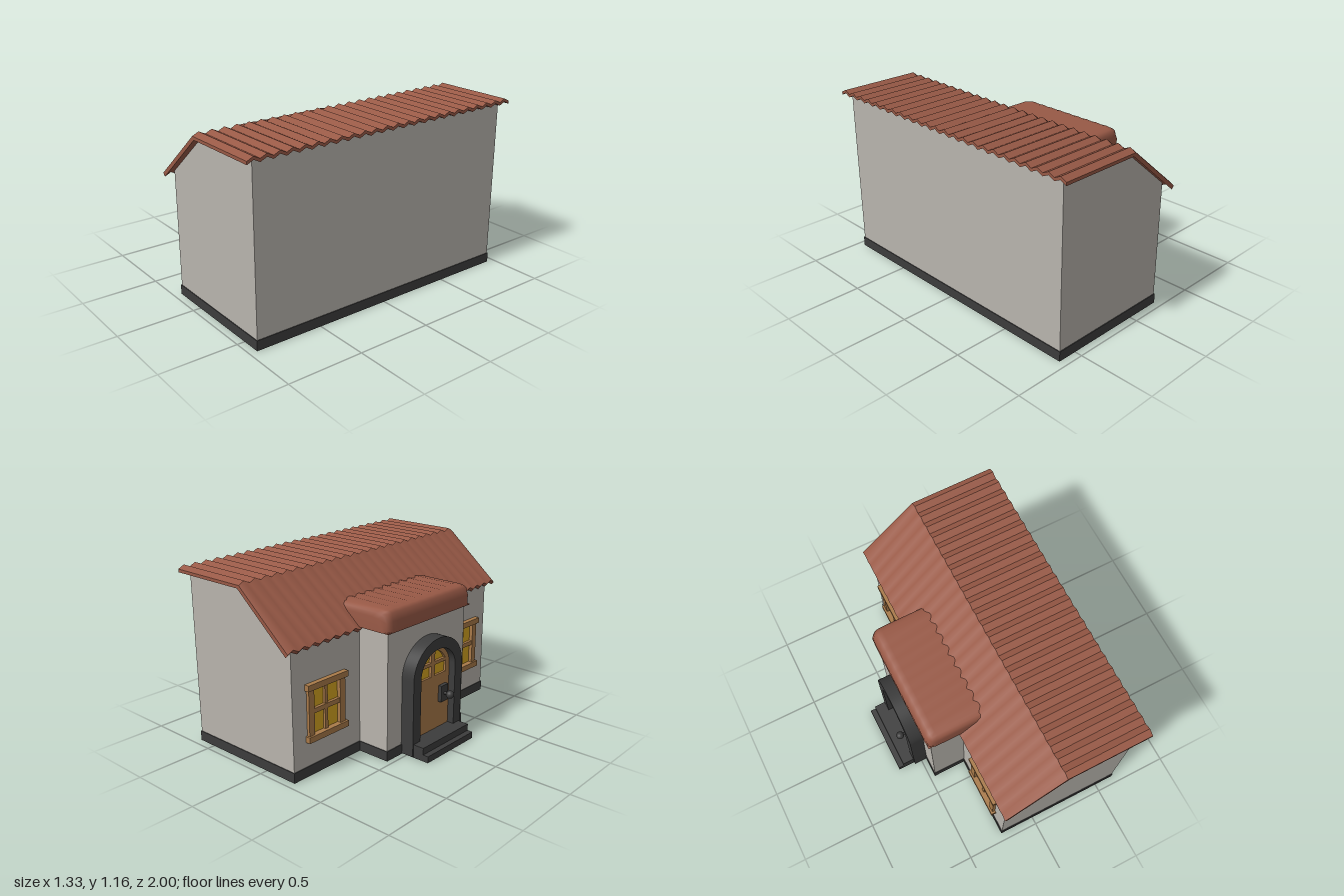
import * as THREE from 'three';
import { toCreasedNormals } from 'three/addons/utils/BufferGeometryUtils.js';

const mat = (name, color, side = THREE.FrontSide) => {
  const m = new THREE.MeshStandardMaterial({ color, side });
  m.name = name;
  return m;
};

export function createModel() {
  const plaster = mat('plaster', 0xb8b4ad);
  const tile = mat('roofTile', 0x985946, THREE.DoubleSide);
  const stone = mat('darkStone', 0x3c3c3c);
  const wood = mat('wood', 0xa97a49);
  const glass = mat('yellowGlass', 0xd6a520);
  const house = new THREE.Group();
  house.name = 'house';

  const add = (name, geo, material, parent = house) => {
    const m = new THREE.Mesh(geo, material);
    m.name = name;
    parent.add(m);
    return m;
  };
  // box given by its extents on each axis
  const box = (name, [x0, x1], [y0, y1], [z0, z1], material, parent) => {
    const g = new THREE.BoxGeometry(x1 - x0, y1 - y0, z1 - z0);
    g.translate((x0 + x1) / 2, (y0 + y1) / 2, (z0 + z1) / 2);
    return add(name, g, material, parent);
  };
  // plate drawn in (z, y), standing between x0 and x1
  const plate = (name, shape, x0, x1, material, parent) => {
    const g = new THREE.ExtrudeGeometry(shape, { depth: x1 - x0, bevelEnabled: false, curveSegments: 20 });
    g.rotateY(-Math.PI / 2).translate(x1, 0, 0);
    return add(name, toCreasedNormals(g, 0.5), material, parent);
  };
  const poly = pts => new THREE.Shape(pts.map(p => new THREE.Vector2(...p)));
  const rect = (a, b, y0, y1) => poly([[a, y0], [b, y0], [b, y1], [a, y1]]);
  const arch = (w, y0, spring, rise) => {
    const s = new THREE.Shape();
    s.moveTo(-w, y0).lineTo(w, y0).lineTo(w, spring);
    s.absellipse(0, spring, w, rise, 0, Math.PI, false, 0);
    s.lineTo(-w, y0);
    return s;
  };

  // ---- walls: a hollow shell, open underneath ----
  const walls = new THREE.Group();
  walls.name = 'walls';
  house.add(walls);
  const gable = poly([[-0.235, 0.03], [0.625, 0.03], [0.625, 1.13], [0.125, 1.13], [-0.235, 0.83]]);
  for (const s of [-1, 1]) {
    const g = new THREE.ExtrudeGeometry(gable, { depth: 0.02, bevelEnabled: false });
    g.translate(0, 0, s > 0 ? 0.925 : -0.945);
    add('gableWall', g, plaster, walls);
    box('porchSideWall', [-0.46, -0.22], [0.03, 0.85], s > 0 ? [0.36, 0.38] : [-0.38, -0.36], plaster, walls);
  }
  box('longWall', [0.605, 0.625], [0.03, 1.13], [-0.945, 0.945], plaster, walls);

  const winZ = 0.68;
  for (const s of [-1, 1]) {
    const a = s > 0 ? 0.37 : -0.945, b = s > 0 ? 0.945 : -0.37;
    const w = rect(a, b, 0.03, 0.83);
    w.holes.push(rect(s * winZ - 0.125, s * winZ + 0.125, 0.25, 0.565));
    plate('windowWall', w, -0.235, -0.215, plaster, walls);
  }
  const porchFront = rect(-0.38, 0.38, 0.03, 0.85);
  porchFront.holes.push(arch(0.2, 0.04, 0.5, 0.18));
  plate('porchFrontWall', porchFront, -0.46, -0.44, plaster, walls);

  // ---- dark plinth following the floor plan ----
  const plan = d => poly([[0.63 - d, -0.95 + d], [0.63 - d, 0.95 - d], [-0.24 + d, 0.95 - d], [-0.24 + d, 0.385 - d],
    [-0.465 + d, 0.385 - d], [-0.465 + d, -0.385 + d], [-0.24 + d, -0.385 + d], [-0.24 + d, -0.95 + d]]);
  const plinth = plan(0);
  plinth.holes.push(plan(0.03));
  add('plinth', new THREE.ExtrudeGeometry(plinth, { depth: 0.065, bevelEnabled: false }).rotateX(-Math.PI / 2), stone);

  // ---- corrugated main roof ----
  const WAVES = 24, T = 0.02;
  const roofSheet = (name, [x0, y0, shift0], [x1, y1, shift1], crisp) => {
    let g = new THREE.BoxGeometry(1, 1, 2, 1, 1, WAVES * 2);
    const p = g.attributes.position;
    for (let i = 0; i < p.count; i++) {
      const end = p.getX(i) > 0, top = p.getY(i) > 0;
      const wave = Math.round((p.getZ(i) + 1) * WAVES) % 2 ? T : 0;
      const x = end ? x1 : x0, y = end ? y1 : y0, shift = end ? shift1 : shift0;
      p.setXYZ(i, x + (top ? 0 : shift), y + wave + (top ? 0 : -T), p.getZ(i));
    }
    if (crisp) g = g.toNonIndexed();
    g.computeVertexNormals();
    add(name, g, tile);
  };
  roofSheet('roofDeck', [0.11, 1.14, 0.015], [0.665, 1.14, 0], true);
  roofSheet('roofSlope', [-0.275, 0.818, 0.018], [0.11, 1.14, 0.015], false);

  // ---- porch roof: rounded hood lofted along z, slightly rippled ----
  const section = (z, d, r) => [
    [-0.485 + d, 0.83, z], [-0.485 + d * 0.7 - r * 0.4, 0.9 - d * 0.4, z], [-0.472 + d, 0.948 - d * 0.8, z],
    [-0.45 + d, 0.962 - d + r * 0.5, z], [-0.415 + d, 0.967 - d + r, z], [-0.1, 0.967 - d + r, z], [-0.1, 0.83, z]];
  const rings = [section(-0.41, 0.05, 0), section(-0.403, 0.022, 0), section(-0.385, 0.006, 0)];
  for (let i = 0; i <= 18; i++) rings.push(section(-0.36 + i * 0.04, 0, i % 2 ? 0.004 : -0.003));
  rings.push(section(0.385, 0.006, 0), section(0.403, 0.022, 0), section(0.41, 0.05, 0));
  const n = 7, idx = [];
  for (let k = 0; k < rings.length - 1; k++) {
    for (let j = 0; j < n - 2; j++) {
      const a = k * n + j, b = a + n;
      idx.push(a, b, a + 1, b, b + 1, a + 1);
    }
  }
  const last = (rings.length - 1) * n;
  for (let j = 1; j < n - 1; j++) idx.push(0, j, j + 1, last, last + j + 1, last + j);
  const hood = new THREE.BufferGeometry();
  hood.setAttribute('position', new THREE.Float32BufferAttribute(rings.flat(2), 3));
  hood.setIndex(idx);
  hood.computeVertexNormals();
  add('porchRoof', hood, tile);
  box('porchRoofSoffit', [-0.483, -0.46], [0.828, 0.835], [-0.405, 0.405], tile);
  box('porchCeiling', [-0.45, -0.22], [0.826, 0.834], [-0.37, 0.37], stone);

  // ---- windows ----
  for (const s of [-1, 1]) {
    const win = new THREE.Group();
    win.name = 'window';
    win.position.z = s * winZ;
    house.add(win);
    box('pane', [-0.23, -0.224], [0.25, 0.565], [-0.125, 0.125], glass, win);
    for (const y of [0.225, 0.55]) box('sill', [-0.268, -0.212], [y, y + 0.038], [-0.165, 0.165], wood, win);
    for (const z of [-0.13, 0.13]) box('post', [-0.255, -0.21], [0.26, 0.555], [z - 0.022, z + 0.022], wood, win);
    box('crossBar', [-0.25, -0.213], [0.395, 0.425], [-0.11, 0.11], wood, win);
    box('mullion', [-0.245, -0.214], [0.26, 0.555], [-0.012, 0.012], wood, win);
  }

  // ---- arched doorway ----
  const surround = arch(0.245, 0.005, 0.5, 0.222);
  surround.holes.push(arch(0.172, 0.04, 0.5, 0.15));
  plate('doorSurround', surround, -0.552, -0.435, stone);

  const door = new THREE.Group();
  door.name = 'door';
  house.add(door);
  const leaf = arch(0.175, 0.06, 0.5, 0.152);
  leaf.holes.push(arch(0.135, 0.455, 0.5, 0.125));
  plate('doorLeaf', leaf, -0.505, -0.47, wood, door);
  plate('doorPane', arch(0.14, 0.45, 0.5, 0.13), -0.49, -0.484, glass, door);
  box('doorMullion', [-0.508, -0.467], [0.45, 0.63], [-0.018, 0.018], wood, door);
  box('doorCrossBar', [-0.508, -0.467], [0.53, 0.552], [-0.135, 0.135], wood, door);

  // knob on its back plate
  box('knobPlate', [-0.53, -0.5], [0.265, 0.375], [0.065, 0.135], stone, door);
  const stem = new THREE.CylinderGeometry(0.01, 0.01, 0.05, 12).rotateZ(Math.PI / 2);
  add('knobStem', stem, stone, door).position.set(-0.545, 0.32, 0.1);
  add('knob', new THREE.SphereGeometry(0.026, 20, 14), stone, door).position.set(-0.572, 0.32, 0.1);

  // steps
  box('lowerStep', [-0.665, -0.45], [0, 0.043], [-0.238, 0.23], stone);
  box('upperStep', [-0.628, -0.45], [0.043, 0.088], [-0.238, 0.23], stone);

  return house;
}
